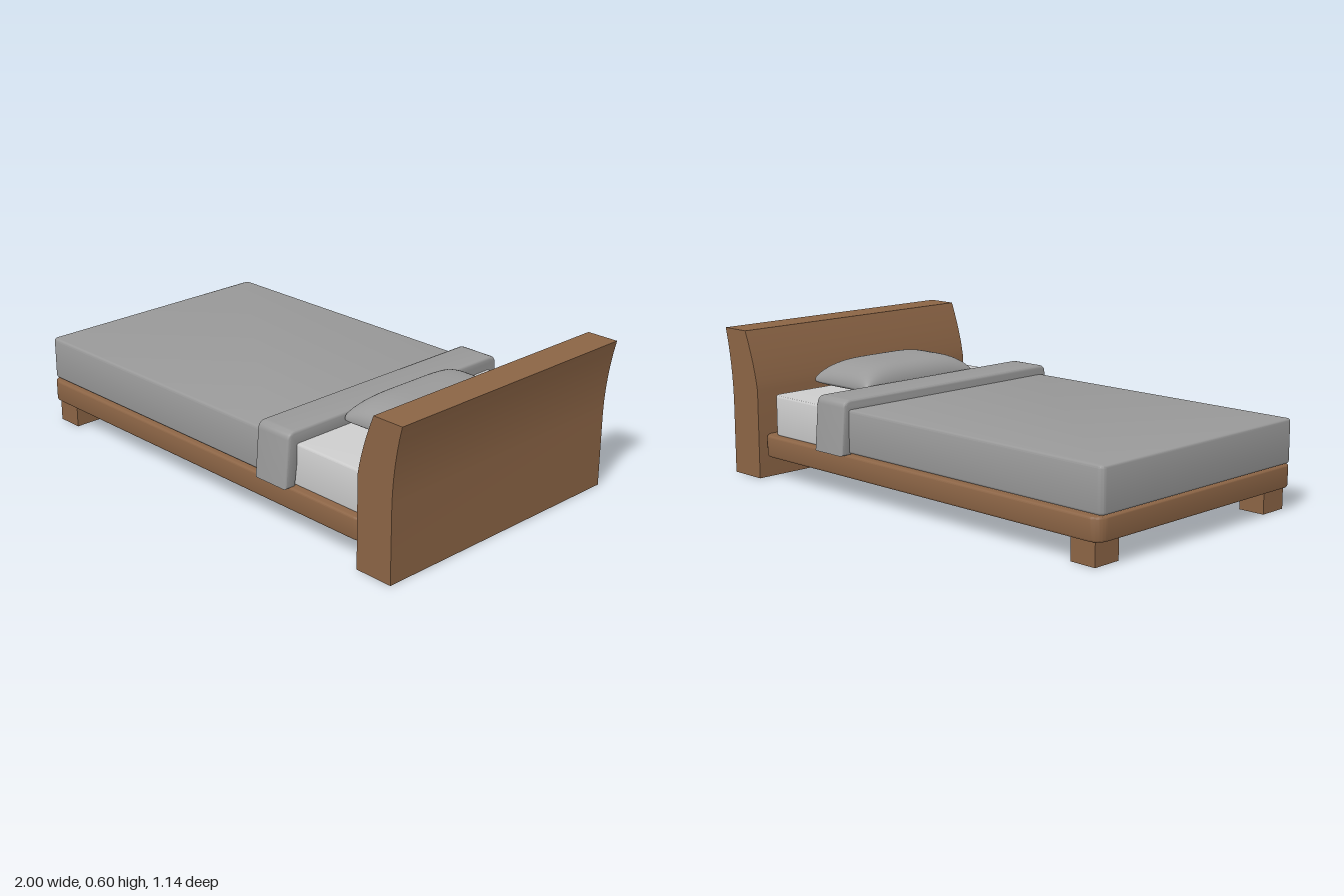
import * as THREE from 'three';
import { toCreasedNormals, mergeGeometries, mergeVertices } from 'three/addons/utils/BufferGeometryUtils.js';

const wood = new THREE.MeshStandardMaterial({ color: 0x8b6445 });
const linen = new THREE.MeshStandardMaterial({ color: 0xcccccc });
const cover = new THREE.MeshStandardMaterial({ color: 0x999999 });

function add(group, name, geometry, material) {
  const mesh = new THREE.Mesh(geometry, material);
  mesh.name = name;
  group.add(mesh);
  return mesh;
}

// Horizontal slab with rounded plan corners and softly bevelled top and bottom edges
function slab(x0, x1, halfZ, y0, y1, radius, bevel) {
  const a = x0 + bevel, b = x1 - bevel, h = halfZ - bevel, r = radius;
  const s = new THREE.Shape();
  s.moveTo(a + r, -h);
  s.lineTo(b - r, -h);
  s.absarc(b - r, -h + r, r, -Math.PI / 2, 0);
  s.absarc(b - r, h - r, r, 0, Math.PI / 2);
  s.absarc(a + r, h - r, r, Math.PI / 2, Math.PI);
  s.absarc(a + r, -h + r, r, Math.PI, Math.PI * 1.5);
  const g = new THREE.ExtrudeGeometry(s, {
    depth: y1 - y0 - 2 * bevel, curveSegments: 6,
    bevelSize: bevel, bevelThickness: bevel, bevelSegments: 3,
  });
  g.rotateX(-Math.PI / 2).translate(0, y0 + bevel, 0);
  return toCreasedNormals(g, 0.6);
}

// Headboard: side profile leaning back at the top, extruded across the bed
function headboard() {
  const s = new THREE.Shape();
  s.moveTo(0.8, 0);
  s.lineTo(0.96, 0);
  s.lineTo(0.96, 0.3);
  s.quadraticCurveTo(0.963, 0.45, 1, 0.595);
  s.lineTo(0.87, 0.595);
  s.quadraticCurveTo(0.815, 0.46, 0.8, 0.36);
  s.closePath();
  const g = new THREE.ExtrudeGeometry(s, { depth: 1.14, bevelEnabled: false, curveSegments: 6 });
  return toCreasedNormals(g.translate(0, 0, -0.57), 0.4);
}

// Turned-back sheet: a U-shaped band hanging over both sides
function foldedBand() {
  const s = new THREE.Shape();
  const bevel = 0.01;
  s.moveTo(-0.56, 0.185);
  s.lineTo(-0.545, 0.36);
  s.quadraticCurveTo(-0.543, 0.38, -0.52, 0.38);
  s.lineTo(0.52, 0.38);
  s.quadraticCurveTo(0.543, 0.38, 0.545, 0.36);
  s.lineTo(0.56, 0.185);
  s.lineTo(0.53, 0.185);
  s.lineTo(0.51, 0.335);
  s.lineTo(-0.51, 0.335);
  s.lineTo(-0.53, 0.185);
  s.closePath();
  const g = new THREE.ExtrudeGeometry(s, {
    depth: 0.165 - 2 * bevel, curveSegments: 5,
    bevelSize: bevel, bevelThickness: bevel, bevelSegments: 3,
  });
  g.rotateY(Math.PI / 2).translate(0.28 + bevel, 0, 0);
  return toCreasedNormals(g, 0.6);
}

// Pillow: two puffed sheets joined at a seam, with pinched-in edges
function pillow() {
  const sheet = (height) => {
    const g = new THREE.PlaneGeometry(2, 2, 28, 36);
    g.rotateX(height > 0 ? -Math.PI / 2 : Math.PI / 2);
    const p = g.attributes.position;
    for (let i = 0; i < p.count; i++) {
      const u = Math.sin(p.getX(i) * Math.PI / 2), v = Math.sin(p.getZ(i) * Math.PI / 2);
      const corner = 0.06 * Math.abs(u * v) ** 16;
      const puff = Math.sqrt(Math.max(0, (1 - u ** 4) * (1 - v ** 4)));
      p.setXYZ(i,
        0.174 * u * (0.94 + 0.06 * v * v - corner),
        height * puff,
        0.3 * v * (0.96 + 0.04 * u * u - corner));
    }
    g.deleteAttribute('uv');
    g.deleteAttribute('normal');
    return g;
  };
  const g = mergeVertices(mergeGeometries([sheet(0.09), sheet(-0.03)]), 1e-5);
  g.computeVertexNormals();
  return g;
}

export function createModel() {
  const bed = new THREE.Group();
  bed.name = 'bed';

  add(bed, 'headboard', headboard(), wood);
  add(bed, 'frame', slab(-1, 0.805, 0.548, 0.09, 0.178, 0.04, 0.008), wood);

  // Feet at the foot end
  for (const side of [-1, 1]) {
    const foot = add(bed, side > 0 ? 'frontFoot' : 'backFoot', new THREE.BoxGeometry(0.11, 0.1, 0.12), wood);
    foot.position.set(-0.915, 0.05, side * 0.47);
  }

  add(bed, 'mattress', slab(-0.98, 0.775, 0.515, 0.175, 0.34, 0.03, 0.008), linen);
  add(bed, 'blanket', slab(-1, 0.3, 0.533, 0.182, 0.352, 0.012, 0.01), cover);
  add(bed, 'foldedBand', foldedBand(), cover);
  add(bed, 'pillow', pillow(), cover).position.set(0.615, 0.37, -0.003);

  return bed;
}
